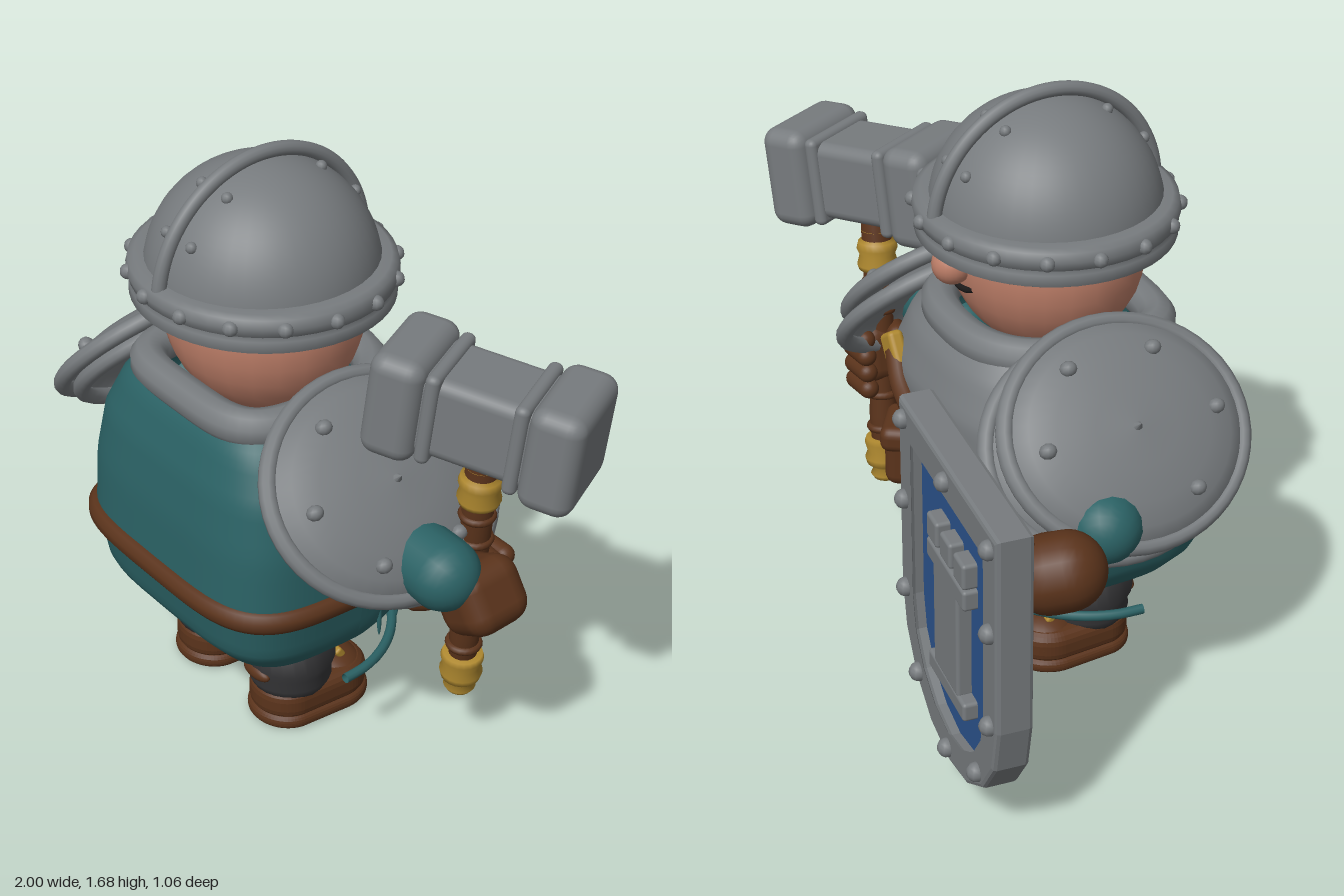
import * as THREE from 'three';
import { RoundedBoxGeometry } from 'three/addons/geometries/RoundedBoxGeometry.js';

const mat = (name, color, side = THREE.FrontSide) => {
  const m = new THREE.MeshStandardMaterial({ color, side });
  m.name = name;
  return m;
};
const steel = mat('steel', 0x777b7e, THREE.DoubleSide), teal = mat('teal cloth', 0x2b6265, THREE.DoubleSide);
const leather = mat('leather', 0x5a331b), gold = mat('brass', 0xae882f), skin = mat('skin', 0xbd7e68);
const blue = mat('shield blue', 0x2b528c), dark = mat('trousers', 0x363638), black = mat('mouth black', 0x1c1a1a);

const V = (x, y, z) => new THREE.Vector3(x, y, z);
const UP = V(0, 1, 0);
const CX = -0.03, CZ = 0.12; // body axis

function add(parent, name, geo, material, pos = [0, 0, 0], rot = [0, 0, 0], scale = [1, 1, 1]) {
  const m = new THREE.Mesh(geo, material);
  m.name = name;
  m.position.set(...pos);
  m.rotation.set(...rot);
  m.scale.set(...scale);
  parent.add(m);
  return m;
}
function group(parent, name, pos = [0, 0, 0], rot = [0, 0, 0]) {
  const g = new THREE.Group();
  g.name = name;
  g.position.set(...pos);
  g.rotation.set(...rot);
  parent.add(g);
  return g;
}
const box = (w, h, d, r = 0.02) => new RoundedBoxGeometry(w, h, d, 3, r);
const ball = (r) => new THREE.SphereGeometry(r, 24, 16);
const stud = (r) => new THREE.SphereGeometry(r, 10, 8);
const tube = (pts, r, closed = false, n = 40) =>
  new THREE.TubeGeometry(new THREE.CatmullRomCurve3(pts, closed), n, r, 10, closed);
const lathe = (pts, n = 40) => new THREE.LatheGeometry(pts.map((p) => new THREE.Vector2(...p)), n);
function limb(parent, name, a, b, r, material) {
  const d = b.clone().sub(a);
  const m = add(parent, name, new THREE.CapsuleGeometry(r, d.length(), 8, 18), material, a.clone().lerp(b, 0.5).toArray());
  m.quaternion.setFromUnitVectors(UP, d.normalize());
}

// Body cross-section: boxy behind (+z), rounder in front (-z)
function around(t, y, rx, rb, rf) {
  const c = Math.cos(t), s = Math.sin(t), e = 2 / (s > 0 ? 4.2 : 2.5);
  return V(CX + Math.sign(c) * Math.abs(c) ** e * rx, y, CZ + Math.sign(s) * Math.abs(s) ** e * (s > 0 ? rb : rf));
}
// Loft of rows of points, first row lowest
function loft(rows, cols, point) {
  const pos = [], idx = [];
  for (let i = 0; i <= rows; i++)
    for (let j = 0; j <= cols; j++) pos.push(...point(i / rows, j / cols).toArray());
  for (let i = 0; i < rows; i++)
    for (let j = 0; j < cols; j++) {
      const a = i * (cols + 1) + j, b = a + cols + 1;
      idx.push(a, b, a + 1, a + 1, b, b + 1);
    }
  const g = new THREE.BufferGeometry();
  g.setAttribute('position', new THREE.Float32BufferAttribute(pos, 3));
  g.setIndex(idx);
  g.computeVertexNormals();
  return g;
}
// y, half width, depth behind, depth in front
const PROFILE = [[0.26, 0.01, 0.01, 0.01], [0.265, 0.28, 0.19, 0.2], [0.3, 0.355, 0.3, 0.25], [0.37, 0.41, 0.36, 0.29],
  [0.52, 0.437, 0.385, 0.32], [0.7, 0.435, 0.375, 0.345], [0.85, 0.412, 0.35, 0.35], [0.97, 0.355, 0.31, 0.31], [1.06, 0.26, 0.24, 0.24]];
function section(y) {
  let i = 0;
  while (i < PROFILE.length - 2 && y > PROFILE[i + 1][0]) i++;
  const a = PROFILE[i], b = PROFILE[i + 1], k = (y - a[0]) / (b[0] - a[0]);
  return a.map((v, n) => v + (b[n] - v) * k);
}
const onBody = (t, y, off = 0) => {
  const [, rx, rb, rf] = section(y);
  return around(t, y, rx + off, rb + off, rf + off);
};
const TAU = Math.PI * 2, FRONT = Math.PI * 1.5;

function buildTorso(root) {
  const g = group(root, 'torso');
  const curve = new THREE.CatmullRomCurve3(PROFILE.map((p) => V(p[1], p[0], 0)));
  add(g, 'tunic', loft(36, 72, (u, v) => onBody(v * TAU, curve.getPoint(u).y)), teal);
  const belt = Array.from({ length: 48 }, (_, i) => onBody((i / 48) * TAU, 0.518, -0.008));
  add(g, 'belt', tube(belt, 0.035, true, 120), leather);
  // Bib that narrows downwards
  add(g, 'breastplate', loft(14, 40, (u, v) => {
    const half = Math.PI * (0.3 + 0.2 * u), low = 0.73 - 0.03 * Math.abs(2 * v - 1);
    return onBody(FRONT + (2 * v - 1) * half, low + (1.05 - low) * u, 0.022);
  }), steel);
  const collar = Array.from({ length: 32 }, (_, i) => around((i / 32) * TAU, 1.022, 0.275, 0.265, 0.26));
  add(g, 'collar', tube(collar, 0.053, true, 80), steel);
  // Loose hem in front and cloth folds
  const hem = Array.from({ length: 17 }, (_, i) => {
    const t = Math.PI * (1 + i / 16);
    return V(CX + 0.455 * Math.cos(t), 0.272, 0.2 + 0.38 * Math.sin(t));
  });
  add(g, 'hem', tube(hem, 0.014), teal);
  for (let i = 0; i < 9; i++)
    add(g, 'fold', ball(0.07), teal, onBody(Math.PI * (1.06 + 0.88 * i / 8), 0.39, -0.003).toArray(), [0, 0, 0], [0.1, 1, 0.1]);
  // Shoulder strap, buckle and pouch
  const strap = [[1.62, 0.87], [1.55, 0.8], [1.44, 0.71], [1.3, 0.62], [1.15, 0.54]].map(([t, y]) => onBody(Math.PI * t, y, 0.03));
  add(g, 'shoulderStrap', tube(strap, 0.03), leather);
  add(g, 'strapTip', box(0.08, 0.11, 0.045, 0.015), gold, strap[0].toArray(), [0, 0, -0.6]);
  const bz = onBody(FRONT, 0.52, 0.028).z;
  for (const s of [-1, 1]) {
    add(g, 'buckleBar', box(0.038, 0.125, 0.04, 0.015), gold, [CX + s * 0.06, 0.52, bz]);
    add(g, 'buckleBar', box(0.155, 0.034, 0.04, 0.015), gold, [CX, 0.52 + s * 0.047, bz]);
  }
  add(g, 'bucklePin', box(0.07, 0.024, 0.04, 0.008), gold, [CX + 0.03, 0.52, bz]);
  add(g, 'pouch', box(0.17, 0.18, 0.1, 0.035), leather, [0.335, 0.435, -0.13], [0, -0.6, 0]);
  add(g, 'pouchFlap', box(0.18, 0.08, 0.115, 0.03), leather, [0.335, 0.5, -0.135], [0, -0.6, 0]);
}

function buildHead(root) {
  const g = group(root, 'head', [CX, 0, 0.13]);
  add(g, 'face', ball(0.29), skin, [0, 1.22, 0], [0, 0, 0], [1, 1, 0.92]);
  add(g, 'nose', ball(0.056), skin, [0, 1.215, -0.28]);
  const mouth = [-2, -1, 0, 1, 2].map((i) => V(i * 0.03, 1.142 + 0.004 * i * i, -0.257 + 0.003 * i * i));
  add(g, 'mouth', tube(mouth, 0.01), black);
  // Helmet
  const h = group(g, 'helmet');
  add(h, 'dome', new THREE.SphereGeometry(0.318, 40, 20, 0, TAU, 0, Math.PI / 2), steel, [0, 1.32, 0]);
  const band = group(h, 'brim');
  band.scale.x = 1.035;
  add(band, 'brimBand', lathe([[0, 1.27], [0.34, 1.263], [0.352, 1.27], [0.352, 1.302], [0.34, 1.31], [0.352, 1.316],
    [0.358, 1.34], [0.352, 1.365], [0.335, 1.373], [0.3, 1.373]], 48), steel);
  for (let i = 0; i < 16; i++) {
    const t = (i / 16) * TAU + 0.1;
    add(band, 'rivet', stud(0.021), steel, [0.354 * Math.cos(t), 1.338, 0.354 * Math.sin(t)]);
  }
  add(h, 'crest', new THREE.TorusGeometry(0.333, 0.02, 12, 48, Math.PI), steel, [0, 1.325, 0], [0, Math.PI / 2, 0]);
  for (const a of [0.5, 1.0])
    for (const sx of [-1, 1]) for (const sz of [-1, 1])
      add(h, 'rivet', stud(0.016), steel, [sx * 0.055, 1.32 + 0.314 * Math.cos(a), sz * 0.314 * Math.sin(a)]);
}

function buildPauldron(root, s) {
  const g = group(root, s > 0 ? 'leftPauldron' : 'rightPauldron', [CX + s * 0.495, 0.89, 0.1], [0, 0, -s * 0.85]);
  g.scale.set(0.89, 1, 1);
  const plate = (name, r, pos, tilt) => {
    const p = group(g, name, pos, tilt);
    add(p, 'plate', lathe([[r, -0.03], [r, 0], [r * 0.85, 0.03], [r * 0.65, 0.052], [r * 0.35, 0.07], [0, 0.076]]), steel);
    add(p, 'rim', new THREE.TorusGeometry(r, 0.025, 10, 48), steel, [0, -0.01, 0], [Math.PI / 2, 0, 0]);
    return p;
  };
  const top = plate('upperPlate', 0.34, [0, 0, 0.01], [0, 0, 0]);
  plate('lowerPlate', 0.33, [s * 0.02, -0.05, -0.035], [-0.06, 0, 0]);
  for (let i = 0; i < 6; i++) {
    const t = (i / 6) * TAU + Math.PI / 6;
    add(top, 'rivet', stud(0.024), steel, [0.25 * Math.cos(t), 0.044, 0.25 * Math.sin(t)]);
  }
  add(top, 'spike', new THREE.ConeGeometry(0.016, 0.025, 8), steel, [0, 0.084, 0]);
}

function buildArms(root) {
  // Arm with the hammer
  const l = group(root, 'leftArm');
  limb(l, 'sleeve', V(0.42, 0.74, 0.1), V(0.69, 0.725, 0.09), 0.1, teal);
  add(l, 'cuff', box(0.19, 0.19, 0.2, 0.06), leather, [0.735, 0.645, 0], [0.1, 0, 0.5]);
  add(l, 'hand', box(0.17, 0.19, 0.15, 0.05), leather, [0.65, 0.6, -0.07], [0, 0, -0.1]);
  for (let i = 0; i < 4; i++)
    limb(l, 'finger', V(0.56 + i * 0.006, 0.515 + i * 0.052, -0.14), V(0.64 + i * 0.006, 0.51 + i * 0.052, -0.145), 0.03, leather);
  limb(l, 'thumb', V(0.67, 0.66, -0.02), V(0.57, 0.67, -0.04), 0.032, leather);
  // Arm with the shield
  const r = group(root, 'rightArm');
  limb(r, 'sleeve', V(-0.48, 0.74, 0.08), V(-0.65, 0.71, -0.02), 0.1, teal);
  limb(r, 'cuff', V(-0.72, 0.66, -0.17), V(-0.7, 0.65, -0.21), 0.107, leather);
  add(r, 'hand', box(0.19, 0.14, 0.14, 0.045), leather, [-0.645, 0.63, -0.26]);
  for (let i = 0; i < 4; i++)
    limb(r, 'finger', V(-0.73 + i * 0.05, 0.64, -0.25), V(-0.73 + i * 0.05, 0.59, -0.23), 0.028, leather);
  limb(r, 'shieldGrip', V(-0.64, 0.53, -0.27), V(-0.64, 0.73, -0.28), 0.03, leather);
  add(r, 'gripMount', box(0.13, 0.22, 0.13, 0.025), leather, [-0.64, 0.66, -0.31]);
}

function buildHammer(root) {
  const g = group(root, 'hammer', [0.61, 0.6, -0.075], [0.04, 0, -0.12]);
  add(g, 'handle', lathe([[0, -0.36], [0.036, -0.36], [0.042, -0.2], [0.035, -0.05], [0.042, 0.12], [0.045, 0.42], [0, 0.42]], 20), leather);
  for (const y of [-0.24, -0.13, 0.14, 0.22])
    add(g, 'gripWrap', new THREE.TorusGeometry(0.04, 0.012, 8, 20), leather, [0, y, 0], [Math.PI / 2, 0, 0]);
  const cap = lathe([[0, -0.09], [0.035, -0.09], [0.045, -0.075], [0.035, -0.055], [0.055, -0.04], [0.06, -0.02], [0.052, 0], [0.06, 0.03], [0.055, 0.045], [0, 0.045]], 20);
  add(g, 'pommel', cap, gold, [0, -0.32, 0]);
  add(g, 'socket', cap, gold, [0, 0.31, 0], [Math.PI, 0, 0]);
  const h = group(root, 'hammerHead', [0.675, 1.15, -0.055]);
  h.rotation.set(0, 0.49, -0.12, 'YZX');
  add(h, 'core', box(0.36, 0.235, 0.235, 0.035), steel);
  for (const s of [-1, 1]) {
    add(h, 'collarPlate', box(0.04, 0.265, 0.265, 0.018), steel, [s * 0.12, 0, 0]);
    add(h, 'strikingBlock', box(0.15, 0.3, 0.3, 0.045), steel, [s * 0.216, 0, 0]);
  }
}

// Shield outline inset by h: flat top, round foot
function outline(h) {
  const w = 0.365 - h, pts = [[w, 1.01 - h]];
  for (let i = 0; i <= 8; i++) {
    const a = (i / 8) * Math.PI;
    pts.push([w * Math.cos(a), 0.44 - (0.35 - h) * Math.sin(a)]);
  }
  pts.push([-w, 1.01 - h]);
  return pts.map((p) => new THREE.Vector2(...p));
}
function buildShield(root) {
  const g = group(root, 'shield', [-0.635, 0, -0.418], [0, -0.116, 0]);
  const shape = new THREE.Shape(outline(0.012));
  shape.holes.push(new THREE.Path(outline(0.094)));
  add(g, 'frame', new THREE.ExtrudeGeometry(shape, { depth: 0.076, bevelSize: 0.012, bevelThickness: 0.012, bevelSegments: 2 }), steel, [0, 0, -0.038]);
  add(g, 'panel', new THREE.ExtrudeGeometry(new THREE.Shape(outline(0.08)), { depth: 0.03, bevelEnabled: false }), blue, [0, 0, -0.015]);
  const spots = outline(0.045).filter((p, i) => i === 0 || i === 10 || i % 2).map((p) => [p.x, p.y]);
  for (const [x, y] of [...spots, [0, 0.965], [0.32, 0.72], [-0.32, 0.72]])
    add(g, 'rivet', stud(0.027), steel, [x, y, -0.053]);
  // Raised tower
  const block = (w, h, x, y) => add(g, 'towerBlock', box(w, h, 0.05, 0.01), steel, [x, y, -0.03]);
  block(0.27, 0.055, 0, 0.34);
  block(0.18, 0.32, 0, 0.52);
  block(0.28, 0.06, 0, 0.69);
  for (const x of [-0.1, 0, 0.1]) block(0.075, 0.075, x, 0.76);
}

// Foot-shaped slab with rounded heel and toe
function footSlab(w, z0, z1, h, bevel) {
  const r = w / 2 - bevel, s = new THREE.Shape();
  s.absellipse(0, -z0 - bevel - r, r, r, 0, Math.PI);
  s.absellipse(0, -z1 + bevel + r * 0.8, r * 0.92, r * 0.8, Math.PI, TAU);
  return new THREE.ExtrudeGeometry(s, { depth: h - 2 * bevel, bevelSize: bevel, bevelThickness: bevel, bevelSegments: 4, curveSegments: 16 })
    .translate(0, 0, bevel).rotateX(-Math.PI / 2);
}
function buildLeg(root, s) {
  const g = group(root, s > 0 ? 'leftLeg' : 'rightLeg', [CX + s * 0.178, 0, 0]);
  add(g, 'trouser', lathe([[0, 0.1], [0.105, 0.1], [0.118, 0.13], [0.114, 0.16], [0.128, 0.19], [0.13, 0.34], [0, 0.34]], 24), dark, [0, 0, 0.18]);
  add(g, 'patch', ball(0.055), leather, [0, 0.175, 0.295], [0, 0, 0], [1, 0.42, 0.4]);
  add(g, 'sole', footSlab(0.24, -0.065, 0.3, 0.042, 0.018), leather);
  add(g, 'boot', footSlab(0.225, -0.06, 0.295, 0.1, 0.035), leather, [0, 0.025, 0]);
  add(g, 'toeCap', ball(0.1), leather, [0, 0.075, 0.04], [0, 0, 0], [1.1, 0.75, 0.97]);
  add(g, 'bootBuckle', box(0.05, 0.035, 0.025, 0.008), gold, [s * 0.03, 0.148, 0.04], [0.6, 0, 0]);
}

export function createModel() {
  const root = new THREE.Group();
  root.name = 'hammerKnight';
  buildTorso(root);
  buildHead(root);
  for (const s of [-1, 1]) {
    buildPauldron(root, s);
    buildLeg(root, s);
  }
  buildArms(root);
  buildHammer(root);
  buildShield(root);
  return root;
}
